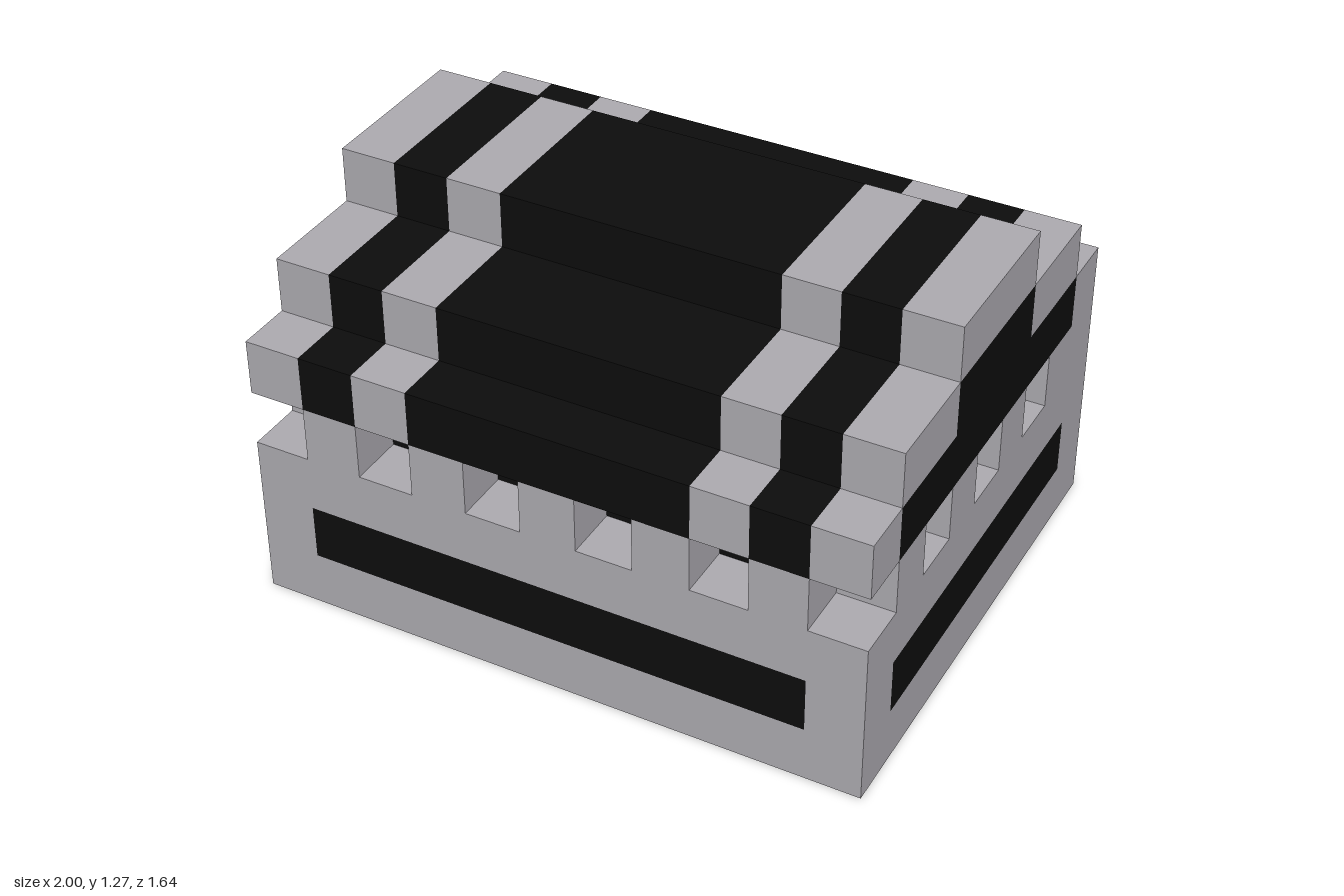
import * as THREE from 'three';

const U = 2 / 11; // one block
const W = 11, D = 9; // footprint in blocks

export function createModel() {
  const group = new THREE.Group();
  const gray = new THREE.MeshStandardMaterial({ color: 0xaeacb2 });
  gray.name = 'stone gray';
  const black = new THREE.MeshStandardMaterial({ color: 0x0d0d0d });
  black.name = 'black';

  function add(name, geometry, material) {
    const mesh = new THREE.Mesh(geometry, material);
    mesh.name = name;
    group.add(mesh);
  }

  // Box between two block corners, counted from the left, bottom and back
  function box(name, material, x0, x1, y0, y1, z0, z1) {
    const g = new THREE.BoxGeometry((x1 - x0) * U, (y1 - y0) * U, (z1 - z0) * U);
    g.translate(((x0 + x1) / 2 - W / 2) * U, ((y0 + y1) / 2) * U, ((z0 + z1) / 2 - D / 2) * U);
    add(name, g, material);
  }

  // Base with an inlaid stripe on every side
  box('baseBottom', gray, 0, W, 0, 1, 0, D);
  box('baseTop', gray, 0, W, 2, 3, 0, D);
  box('frontBackStripe', black, 1, W - 1, 1, 2, 0, D);
  box('sideStripe', black, 0, W, 1, 2, 1, D - 1);
  for (const x of [0, W - 1]) {
    for (const z of [0, D - 1]) box('baseCorner', gray, x, x + 1, 1, 2, z, z + 1);
  }

  // Dark inside with teeth around the front and sides
  box('interior', black, 1, W - 1, 3, 4, 1, D - 1);
  for (let x = 1; x < W; x += 2) box('frontTooth', gray, x, x + 1, 3, 4, D - 1, D);
  for (const x of [0, W - 1]) {
    for (let z = 1; z < D - 1; z += 2) box('sideTooth', gray, x, x + 1, 3, 4, z, z + 1);
  }

  // Stepped lid bands that run down the back as hinges
  const profile = [[0, 3], [1, 3], [1, 4], [9, 4], [9, 5], [8, 5], [8, 6], [6, 6],
    [6, 7], [3, 7], [3, 6], [1, 6], [1, 5], [0, 5]];
  const shape = new THREE.Shape(profile.map(([z, y]) => new THREE.Vector2((z - D / 2) * U, y * U)));
  const bands = [[1, 2, black], [2, 3, gray], [3, 8, black], [8, 9, gray], [9, 10, black]];
  for (const [x0, x1, material] of bands) {
    const g = new THREE.ExtrudeGeometry(shape, { depth: (x1 - x0) * U, bevelEnabled: false });
    g.rotateY(-Math.PI / 2);
    g.translate((x1 - W / 2) * U, 0, 0);
    add('lidBand', g, material);
  }

  // Lid ends: gray rim over black side panels
  for (const x of [0, W - 1]) {
    box('lidBackPost', gray, x, x + 1, 3, 5, 0, 1);
    box('lidFrontCorner', gray, x, x + 1, 4, 5, D - 1, D);
    box('lidSidePanel', black, x, x + 1, 4, 5, 1, D - 1);
    box('lidBackStep', gray, x, x + 1, 5, 6, 1, 3);
    box('lidFrontStep', gray, x, x + 1, 5, 6, 6, 8);
    box('lidUpperPanel', black, x, x + 1, 5, 6, 3, 6);
    box('lidRidge', gray, x, x + 1, 6, 7, 3, 6);
  }
  return group;
}
